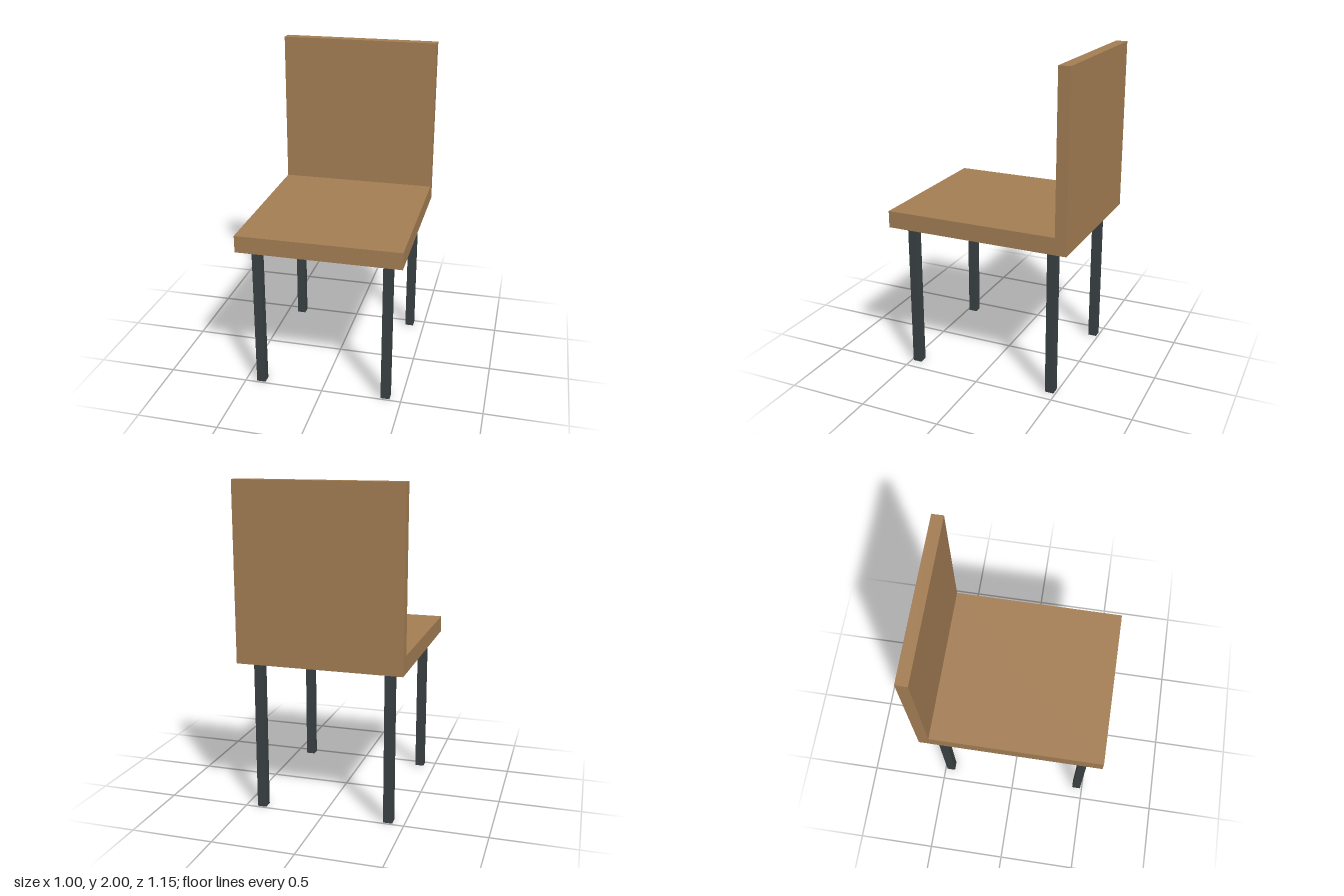
import * as THREE from 'three';

const wood = new THREE.MeshStandardMaterial({ color: 0xa47e54 });
wood.name = 'wood';
const darkMetal = new THREE.MeshStandardMaterial({ color: 0x3a4143 });
darkMetal.name = 'darkMetal';

const WIDTH = 1.0;
const FRONT = 0.576, BACK = -0.576, BACKREST_FACE = -0.505;
const SEAT_BOTTOM = 0.935, SEAT_TOP = 1.04, TOP = 2;
const LEG = 0.056;

// Seat and backrest: one L-shaped side profile (z, y) extruded across the width
function createSeatAndBackrest() {
  const profile = new THREE.Shape([
    [BACK, SEAT_BOTTOM], [FRONT, SEAT_BOTTOM], [FRONT, SEAT_TOP],
    [BACKREST_FACE, SEAT_TOP], [BACKREST_FACE, TOP], [BACK, TOP],
  ].map(([z, y]) => new THREE.Vector2(z, y)));
  const geometry = new THREE.ExtrudeGeometry(profile, { depth: WIDTH, bevelEnabled: false });
  geometry.rotateY(-Math.PI / 2).translate(WIDTH / 2, 0, 0);
  const mesh = new THREE.Mesh(geometry, wood);
  mesh.name = 'seatAndBackrest';
  return mesh;
}

// Four square legs, inset from the seat corners
function createLegs() {
  const legs = new THREE.Group();
  legs.name = 'legs';
  const geometry = new THREE.BoxGeometry(LEG, SEAT_BOTTOM, LEG);
  for (const [end, z] of [['front', 0.46], ['back', -0.46]]) {
    for (const [side, x] of [['Left', 0.4], ['Right', -0.4]]) {
      const leg = new THREE.Mesh(geometry, darkMetal);
      leg.name = `${end}${side}Leg`;
      leg.position.set(x, SEAT_BOTTOM / 2, z);
      legs.add(leg);
    }
  }
  return legs;
}

export function createModel() {
  const chair = new THREE.Group();
  chair.name = 'chair';
  chair.add(createSeatAndBackrest(), createLegs());
  return chair;
}
